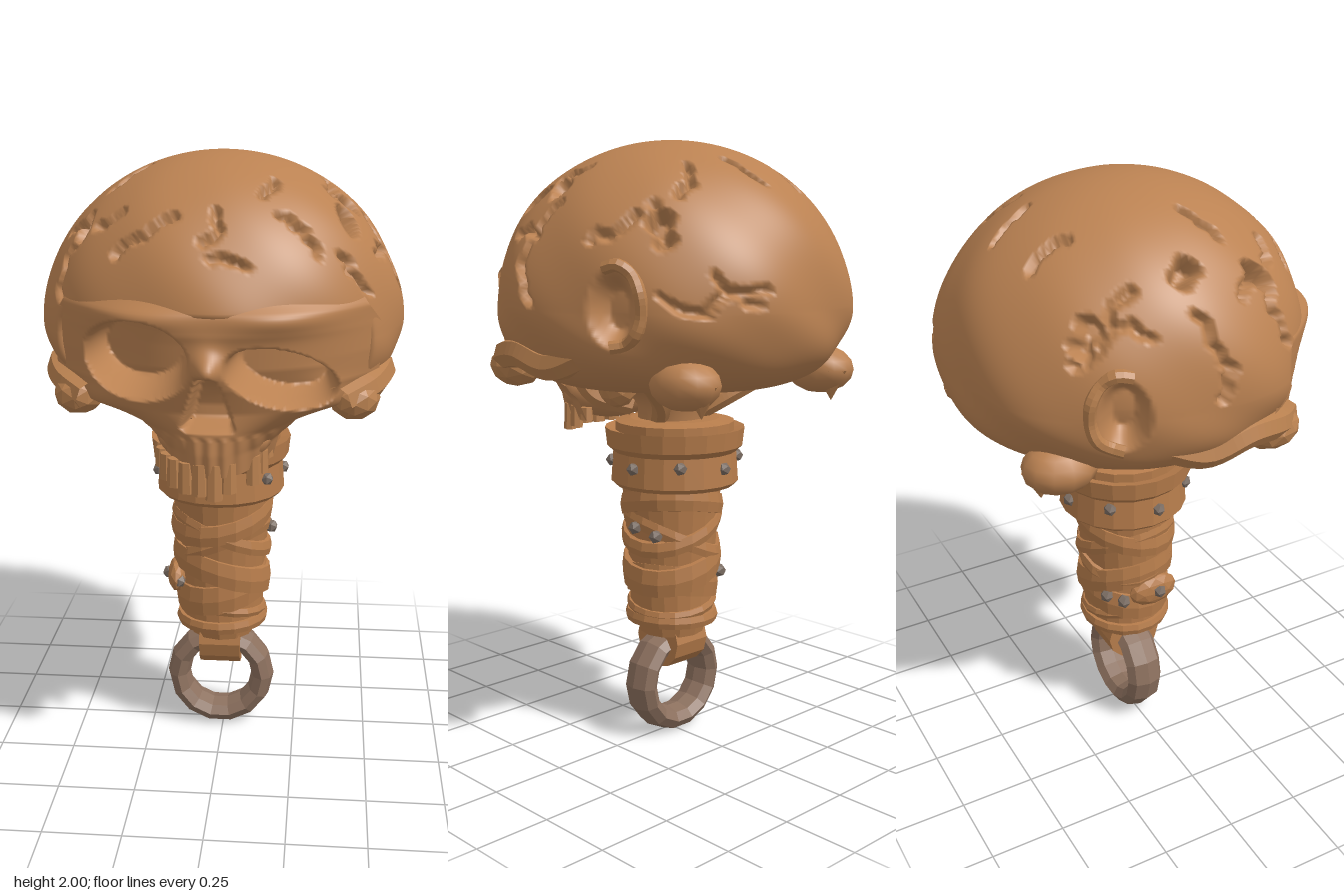
import * as THREE from 'three';
import { mergeVertices } from 'three/addons/utils/BufferGeometryUtils.js';

const mat = (name, color, extra = {}) => {
  const m = new THREE.MeshStandardMaterial({ color, ...extra });
  m.name = name;
  return m;
};
const smooth = THREE.MathUtils.smoothstep;
const V = (x, y, z) => new THREE.Vector3(x, y, z);

// Grid surface from fn(u, v)
function grid(nu, nv, fn) {
  const pos = [], idx = [];
  for (let j = 0; j <= nv; j++) for (let i = 0; i <= nu; i++) pos.push(...fn(i / nu, j / nv).toArray());
  for (let j = 0; j < nv; j++) for (let i = 0; i < nu; i++) {
    const a = j * (nu + 1) + i, d = a + nu + 1;
    idx.push(a, a + 1, d, a + 1, d + 1, d);
  }
  const g = new THREE.BufferGeometry();
  g.setAttribute('position', new THREE.Float32BufferAttribute(pos, 3));
  g.setIndex(idx);
  const m = mergeVertices(g);
  m.computeVertexNormals();
  return m;
}

// Braincase surface by azimuth (0 = front) and elevation, lifted outward by d
function skullPoint(az, el, d = 0) {
  const s = Math.sin(el), c = Math.max(0, Math.cos(el)), ca = Math.cos(az);
  const bumps = 0.014 * Math.sin(az * 5 + 1) * Math.cos(el * 4) + 0.006 * Math.sin(az * 9 + el * 7);
  const r = (s < 0 ? Math.pow(c, 0.42) : c) * (1 + bumps * c);
  const y = 1.48 + s * (s < 0 ? 0.27 : 0.52) + 0.09 * smooth(-s, 0.94, 0.995);
  let z = ca * r * (ca > 0 ? 0.56 : 0.595);
  // hollow behind the face
  if (ca > 0) z *= 1 - 0.6 * (1 - smooth(y, 1.47, 1.58)) * smooth(ca, 0.52, 0.8);
  const p = V(Math.sin(az) * r * 0.572, y, z);
  return p.add(V(p.x, p.y - 1.48, p.z).normalize().multiplyScalar(d));
}

// Face rows: y, half width, z at the middle, z at the edge
const faceRows = [
  [1.08, 0.178, 0.49, 0.22], [1.15, 0.195, 0.5, 0.25], [1.21, 0.26, 0.5, 0.25], [1.28, 0.44, 0.5, 0.24],
  [1.36, 0.5, 0.53, 0.24], [1.44, 0.5, 0.54, 0.26], [1.52, 0.5, 0.555, 0.265], [1.58, 0.46, 0.545, 0.32], [1.7, 0.38, 0.46, 0.3],
];
const sockets = [[-0.22, 1.435, 0.16, 0.12, 0], [0.21, 1.385, 0.16, 0.09, -0.25]];

function facePoint(u, v) {
  const y = 1.08 + v * 0.62;
  let k = 0;
  while (k < faceRows.length - 2 && y > faceRows[k + 1][0]) k++;
  const [p, q] = [faceRows[k], faceRows[k + 1]];
  const t = (y - p[0]) / (q[0] - p[0]);
  const [, w, zc, ze] = p.map((n, i) => n + (q[i] - n) * t);
  const s = u * 2 - 1, x = s * w;
  let z = zc - (zc - ze) * Math.pow(Math.abs(s), 2.4);
  // nasal bone, brow ridges, cheekbones and tooth roots
  z += 0.07 * Math.exp(-((x / 0.045) ** 2) - ((y - 1.42) / 0.05) ** 2);
  for (const e of [-0.22, 0.22]) z += 0.03 * Math.exp(-(((x - e) / 0.16) ** 2) - ((y - 1.565) / 0.04) ** 2);
  z += 0.035 * Math.exp(-(((Math.abs(x) - 0.36) / 0.09) ** 2) - ((y - 1.29) / 0.05) ** 2);
  if (y < 1.2) z += 0.004 * Math.cos(x * 140);
  // eye sockets and nose opening
  for (const [ex, ey, rx, ry, a] of sockets) {
    const dx = x - ex, dy = y - ey - dx * a;
    z -= 0.23 * (1 - smooth(Math.hypot(dx / rx, dy / ry), 0.82, 1.04));
  }
  const h = (y - 1.22) / 0.19;
  if (h > 0 && h < 1) z -= 0.12 * (1 - smooth(Math.abs(x + 0.005) / (0.08 * (1 - h * 0.75)), 0.75, 1.1)) * smooth(h, 0, 0.1) * (1 - smooth(h, 0.85, 1));
  return V(x, y, z);
}

export function createModel() {
  const root = new THREE.Group();
  const bone = mat('bone', 0xbb8252, { side: THREE.DoubleSide });
  const chipped = mat('chipped bone', 0xb8804f, { flatShading: true });
  const leather = mat('leather', 0xb67c4b, { flatShading: true });
  const iron = mat('worn iron', 0x8c705e, { flatShading: true });
  const studMat = mat('grey studs', 0x7a6c62, { flatShading: true });
  const add = (name, geo, m, x = 0, y = 0, z = 0, parent = root) => {
    const o = new THREE.Mesh(geo, m);
    o.name = name;
    o.position.set(x, y, z);
    parent.add(o);
    return o;
  };
  let seed = 11;
  const rnd = () => (seed = (seed * 16807) % 2147483647) / 2147483647;

  // Crack paths wandering over the braincase: azimuth, elevation, heading, steps
  const cracks = [];
  for (let [az, el, heading, steps] of [[-0.05, 0.6, 1.4, 4], [0, 0.5, 0.2, 3], [-0.6, 0.5, 0.9, 6], [0.65, 0.5, 2.2, 6], [1, 0.25, 1.7, 5],
    [-1, 0.2, 1.5, 6], [1.55, 0.05, 1.5, 11], [-1.55, 0.05, 1.6, 9], [1.9, 0.4, 0.3, 5], [-1.9, 0.45, 2.8, 5], [2.3, 0.1, 0.2, 10],
    [2.4, 0.7, 1.2, 5], [-2.3, 0.3, 1.1, 8], [-2.7, 0.75, 1.3, 4], [3.1, 0.8, 1.5, 4], [1.2, 0.85, 0.4, 4], [-1.2, 0.9, 2, 4],
    [0.4, 0.9, 0.3, 3], [1.2, 0.45, 0.1, 4], [-1.3, 0.55, 0.2, 4], [2.8, 0.05, 2.6, 5], [-0.9, 0.65, 0.1, 3]]) {
    for (let i = 0; i < steps; i++) {
      const turn = heading + (rnd() - 0.5) * 1.8, from = skullPoint(az, el);
      az += (Math.cos(turn) * 0.065) / Math.max(0.25, Math.cos(el));
      el += Math.sin(turn) * 0.065;
      cracks.push({ line: new THREE.Line3(from, skullPoint(az, el)), width: 0.011 + rnd() * 0.009 });
    }
  }

  // Braincase with cracks, chipped pits and a hollow behind each temple
  const pits = [[-0.4, -0.33], [0.37, -0.34], [0.39, 0.08], [-0.41, 0.22], [0.39, 0.2], [-0.41, -0.03]];
  const near = V(0, 0, 0);
  add('braincase', grid(270, 150, (u, v) => {
    const az = (u * 2 - 1) * Math.PI, el = (v - 0.5) * Math.PI, p = skullPoint(az, el);
    let depth = 0;
    for (const { line, width } of cracks) {
      if (p.distanceToSquared(line.start) > 0.02) continue;
      const d = line.closestPointToPoint(p, true, near).distanceTo(p);
      depth = Math.max(depth, 0.03 * (1 - smooth(d, width * 0.3, width)));
    }
    if (p.y > 1.5) for (const [x, z] of pits) {
      const d = Math.hypot(p.x - x, (p.z - z) * 0.7) + 0.008 * Math.sin(p.y * 70 + p.z * 50);
      depth = Math.max(depth, 0.07 * (1 - smooth(d, 0.02, 0.034)));
    }
    if (Math.abs(p.x) > 0.3) depth = Math.max(depth, 0.08 * (1 - smooth(Math.hypot((p.z + 0.27) / 0.065, (p.y - 1.49) / 0.11), 0.6, 1.1)));
    return skullPoint(az, el, -depth);
  }), bone);
  add('face', grid(110, 84, facePoint), bone);
  add('upperJaw', new THREE.SphereGeometry(1, 16, 10).scale(0.18, 0.09, 0.15), bone, 0, 1.16, 0.3);

  // Cheek arches, temple rims, lower rear lumps and base struts on both sides
  for (const s of [-1, 1]) {
    const tube = (name, pts, r, m = chipped) =>
      add(name, new THREE.TubeGeometry(new THREE.CatmullRomCurve3(pts.map(([x, y, z]) => V(x * s, y, z))), 24, r, 7), m);
    tube('cheekArch', [[0.38, 1.29, 0.36], [0.465, 1.32, 0.27], [0.505, 1.34, 0.14], [0.5, 1.31, 0], [0.47, 1.36, -0.14]], 0.05);
    add('cheekbone', new THREE.IcosahedronGeometry(1, 1).scale(0.08, 0.07, 0.1), chipped, s * 0.425, 1.285, 0.28);
    const rim = [];
    for (let i = 0; i < 8; i++) {
      const a = 1.2 + i * 0.52;
      rim.push(skullPoint(2.06 - Math.cos(a) * 0.15, 0.03 + Math.sin(a) * (a > Math.PI ? 0.4 : 0.24), i % 2 ? 0.008 : -0.002).toArray());
    }
    tube('templeRim', [...rim].reverse(), 0.02);
    add('mastoid', new THREE.SphereGeometry(1, 12, 8).scale(0.1, 0.08, 0.12), bone, s * 0.31, 1.27, -0.38);
    add('mastoidTip', new THREE.ConeGeometry(0.06, 0.1, 6).rotateX(Math.PI), chipped, s * 0.3, 1.22, -0.44);
    tube('baseStrut', [[0.08, 1.1, -0.03], [0.16, 1.17, -0.12], [0.32, 1.27, -0.22]], 0.03);
    tube('jawStrut', [[0.1, 1.14, 0.08], [0.2, 1.18, 0.16], [0.26, 1.3, 0.2]], 0.035);
    add('baseLump', new THREE.IcosahedronGeometry(1, 1).scale(0.06, 0.07, 0.07), chipped, s * 0.22, 1.22, 0.02);
  }

  // Teeth along the jaw arch
  for (let i = 0; i < 12; i++) {
    if (i === 8) continue;
    const a = (i / 11 - 0.5) * 2.9, c = Math.cos(a);
    const low = 1.005 + 0.06 * (1 - c) + rnd() * 0.02, h = 1.12 - low;
    const g = new THREE.CylinderGeometry(0.022, 0.026, h, 7).scale(1.05, 1, 0.85);
    add('tooth', g, chipped, Math.sin(a) * 0.168 - 0.01, low + h / 2, 0.22 + 0.262 * c).rotation.y = a;
  }

  const lathe = (pts, n = 20) => new THREE.LatheGeometry(pts.map(([r, y]) => new THREE.Vector2(r, y)), n);
  add('neck', lathe([[0.11, 1.05], [0.11, 1.14], [0.15, 1.19], [0.24, 1.26], [0.27, 1.32]]), bone);

  // Collar with studs
  const collar = add('collar', lathe([[0, 0.875], [0.2, 0.875], [0.215, 0.89], [0.208, 0.99], [0.228, 1.01], [0.235, 1.07], [0.2, 1.06],
    [0.2, 1.09], [0.15, 1.1], [0, 1.1]]), leather, -0.01, 0, -0.01);
  for (let i = 0; i < 8; i++) {
    const a = (i / 8) * Math.PI * 2 + 0.1;
    add('collarStud', new THREE.IcosahedronGeometry(0.023, 0), studMat, Math.sin(a) * 0.21, 0.955 + 0.015 * Math.sin(i * 3), Math.cos(a) * 0.21, collar);
  }

  // Grip with slanted leather bands; each band is sheared by its slopes
  add('grip', lathe([[0, 0.4], [0.14, 0.4], [0.145, 0.6], [0.16, 0.78], [0.17, 0.89], [0, 0.89]]), leather, -0.005);
  const band = (y, h, r, sx, sz) => {
    const g = lathe([[r - 0.025, -h / 2], [r - 0.002, -h / 2], [r + 0.004, 0], [r - 0.002, h / 2], [r - 0.025, h / 2]], 18);
    const p = g.attributes.position;
    for (let i = 0; i < p.count; i++) p.setY(i, p.getY(i) + p.getX(i) * sx + p.getZ(i) * sz);
    g.computeVertexNormals();
    add('wrapBand', g, leather, -0.005, y, 0);
  };
  [[0.42, 0.04, 0.155, 0.02, 0], [0.47, 0.03, 0.15, -0.15, 0.1], [0.54, 0.1, 0.155, 0.2, -0.1], [0.61, 0.09, 0.166, -0.3, 0.1],
    [0.7, 0.05, 0.164, 0.4, 0.2], [0.74, 0.05, 0.168, -0.4, 0.1], [0.8, 0.07, 0.172, 0.2, -0.2]].forEach((b) => band(...b));
  // Loose leather patch and its studs
  add('wrapPatch', new THREE.IcosahedronGeometry(1, 1).scale(0.035, 0.06, 0.09), leather, -0.155, 0.575, 0.03);
  [[-0.185, 0.58, 0.04], [-0.145, 0.57, 0.095], [-0.11, 0.57, -0.125], [-0.15, 0.555, -0.08], [0.163, 0.745, 0], [0.145, 0.725, -0.08]]
    .forEach(([x, y, z]) => add('gripStud', new THREE.IcosahedronGeometry(0.024, 0), studMat, x, y, z));

  // Leather loop and hanging ring
  add('loop', new THREE.CylinderGeometry(0.098, 0.098, 0.14, 12).rotateZ(Math.PI / 2), leather, -0.008, 0.335, 0);
  add('loopShoulder', new THREE.CylinderGeometry(0.12, 0.11, 0.04, 12), leather, -0.005, 0.38, 0);
  add('hangingRing', new THREE.TorusGeometry(0.148, 0.04, 8, 14).scale(1, 1, 1.65), iron, -0.01, 0.188, 0);
  return root;
}
